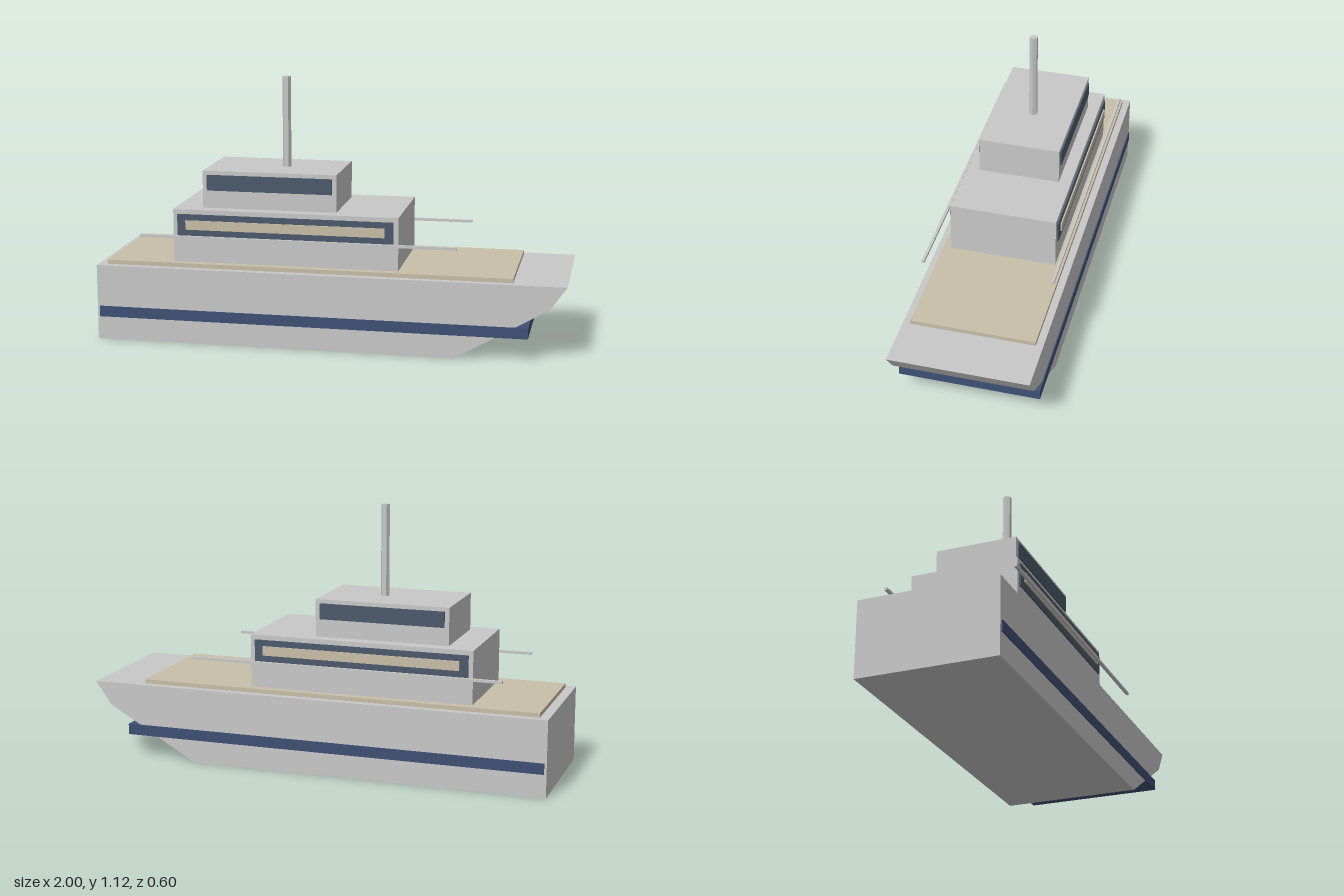
import * as THREE from 'three';

const mat = (name, color) => {
  const m = new THREE.MeshStandardMaterial({ color, flatShading: true });
  m.name = name;
  return m;
};

export function createModel() {
  const ship = new THREE.Group();
  ship.name = 'ship';
  const grey = mat('hullGrey', 0xc8c8c8);
  const tan = mat('deckTan', 0xc8bfa8);
  const navy = mat('stripeNavy', 0x3f5075);
  const glass = mat('windowSlate', 0x4c5a6c);

  const add = (name, geometry, material) => {
    const mesh = new THREE.Mesh(geometry, material);
    mesh.name = name;
    ship.add(mesh);
    return mesh;
  };
  // Box given by its extents on each axis
  const box = (name, material, [x0, x1], [y0, y1], [z0, z1]) =>
    add(name, new THREE.BoxGeometry(x1 - x0, y1 - y0, z1 - z0), material)
      .position.set((x0 + x1) / 2, (y0 + y1) / 2, (z0 + z1) / 2);
  // The same box on both sides of the ship
  const pair = (name, material, x, y, [z0, z1]) => {
    box(name + 'Front', material, x, y, [z0, z1]);
    box(name + 'Back', material, x, y, [-z1, -z0]);
  };

  // Hull: side profile with a raked bow, extruded across the beam
  const profile = new THREE.Shape(
    [[-1, 0], [0.54, 0], [0.93, 0.227], [1, 0.325], [-1, 0.325]].map(([x, y]) => new THREE.Vector2(x, y)));
  const hull = new THREE.ExtrudeGeometry(profile, { depth: 0.586, bevelEnabled: false });
  hull.translate(0, 0, -0.293);
  add('hull', hull, grey);

  // Stripe runs past the bow
  box('hullStripe', navy, [-0.99, 0.845], [0.1, 0.146], [-0.298, 0.298]);
  box('deck', tan, [-0.96, 0.777], [0.325, 0.343], [-0.262, 0.262]);

  // Cabins
  box('lowerCabin', grey, [-0.674, 0.295], [0.343, 0.57], [-0.228, 0.228]);
  box('upperCabin', grey, [-0.557, 0.022], [0.57, 0.73], [-0.175, 0.175]);

  // Windows and inner panels
  pair('lowerWindow', glass, [-0.655, 0.275], [0.455, 0.55], [0.227, 0.235]);
  pair('windowPanel', tan, [-0.618, 0.238], [0.485, 0.525], [0.234, 0.241]);
  pair('upperWindow', glass, [-0.538, 0.003], [0.646, 0.713], [0.174, 0.181]);

  // Side rails
  pair('rail', grey, [-0.807, 0.545], [0.455, 0.466], [0.268, 0.28]);

  // Six-sided mast
  add('mast', new THREE.CylinderGeometry(0.0185, 0.0185, 0.39, 6, 1, false, Math.PI / 6), grey)
    .position.set(-0.228, 0.925, 0);

  return ship;
}
